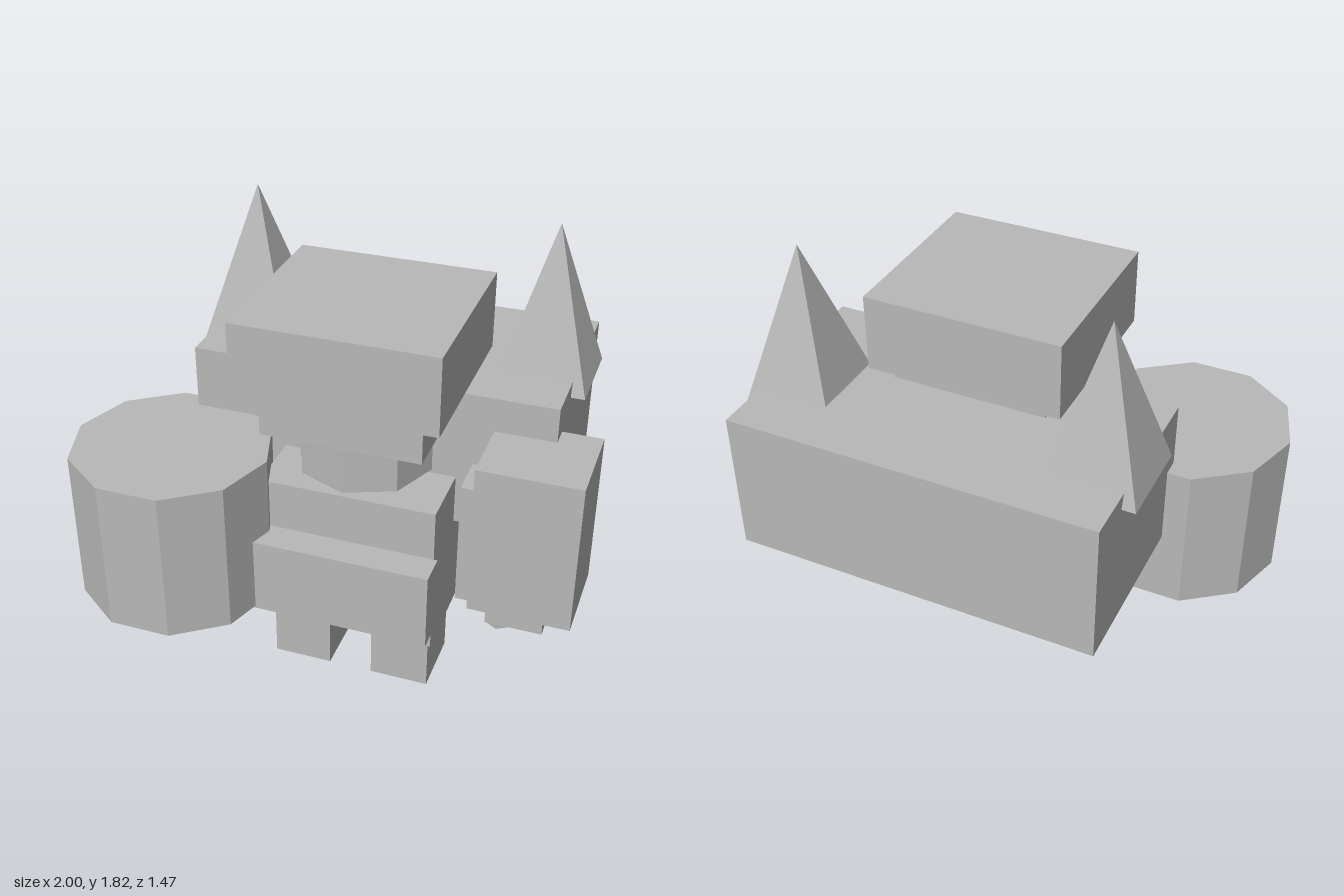
import * as THREE from 'three';

const grey = new THREE.MeshStandardMaterial({ color: 0xb8b8b8 });
grey.name = 'light grey';
const CX = 0.105; // body's centre line

export function createModel() {
  const model = new THREE.Group();
  model.name = 'blockCharacter';

  const add = (name, geometry, x, y, z) => {
    // split vertices so every facet stays flat
    const flat = geometry.index ? geometry.toNonIndexed() : geometry;
    flat.computeVertexNormals();
    const mesh = new THREE.Mesh(flat, grey);
    mesh.name = name;
    mesh.position.set(x, y, z);
    model.add(mesh);
    return mesh;
  };
  const box = (name, [x0, x1], [y0, y1], [z0, z1]) =>
    add(name, new THREE.BoxGeometry(x1 - x0, y1 - y0, z1 - z0), (x0 + x1) / 2, (y0 + y1) / 2, (z0 + z1) / 2);
  // square frustum given by half widths, sides facing the axes
  const frustum = (name, top, bottom, x, y0, y1, z) => {
    const g = new THREE.CylinderGeometry(top * Math.SQRT2, bottom * Math.SQRT2, y1 - y0, 4);
    g.rotateY(Math.PI / 4);
    return add(name, g, x, (y0 + y1) / 2, z);
  };

  // head and hat
  box('hat', [-0.29, 0.5], [1.31, 1.62], [-0.275, 0.465]);
  frustum('hatSlope', 0.22, 0.29, CX, 1.265, 1.315, 0.09);
  box('hatBrim', [-0.21, 0.42], [1.14, 1.27], [-0.225, 0.39]);
  add('head', new THREE.CylinderGeometry(0.27, 0.27, 0.21, 8), CX, 1.035, 0.09);

  // torso and front plate
  box('torso', [-0.25, 0.46], [0.25, 0.885], [-0.13, 0.32]);
  box('chestPlate', [-0.265, 0.475], [0.36, 0.68], [0.32, 0.45]);

  // paired legs, arms and hands
  for (const [side, s] of [['left', 1], ['right', -1]]) {
    const span = (a, b) => [CX + s * a, CX + s * b].sort((p, q) => p - q);
    box(side + 'Leg', span(0.09, 0.33), [0, 0.25], [-0.01, 0.265]);
    box(side + 'Arm', span(0.42, 0.65), [0.44, 0.96], [-0.03, 0.22]);
    box(side + 'Cuff', span(0.56, 0.785), [0.41, 0.5], [0.115, 0.29]);
    add(side + 'Hand', new THREE.CylinderGeometry(0.055, 0.055, 0.06, 6), CX + s * 0.6, 0.39, 0.2);
  }

  // left sleeve block and the ten-sided drum on the right arm
  box('leftSleeve', [0.6, 1], [0.49, 1.12], [-0.04, 0.33]);
  const drum = new THREE.CylinderGeometry(0.4, 0.4, 0.63, 10);
  drum.rotateY(Math.PI / 10);
  add('drum', drum, -0.6, 0.685, 0.355);

  // large pack on the back with spikes and a small peg
  box('backPack', [-0.63, 0.84], [0.68, 1.26], [-0.73, 0.045]);
  box('packPeg', [0.23, 0.385], [0.53, 0.69], [-0.435, -0.325]);
  for (const x of [-0.503, 0.715]) frustum('packSpike', 0, 0.18, x, 1.2, 1.82, -0.345);

  return model;
}
